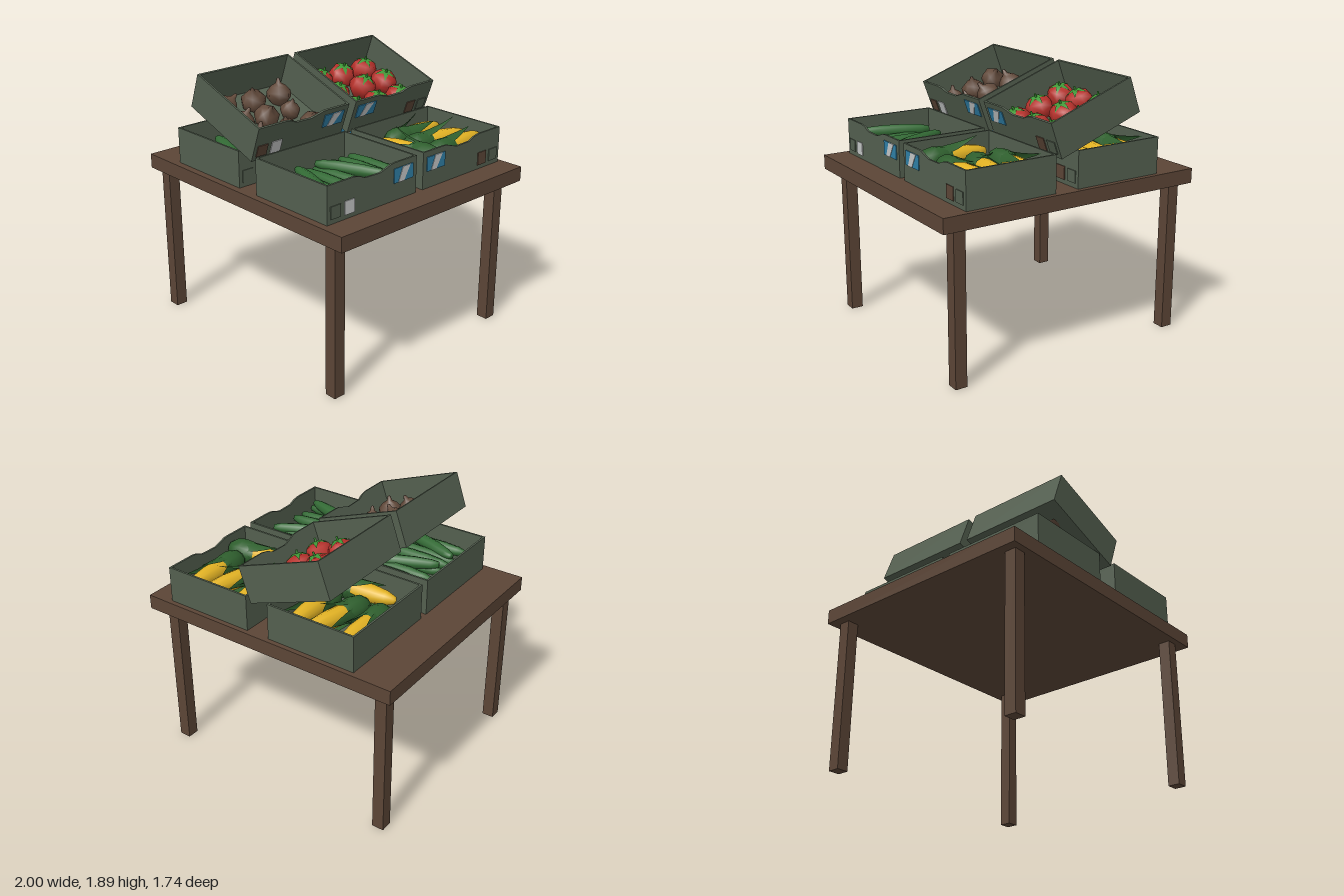
import * as THREE from 'three';

const mat = (name, color, side = THREE.FrontSide) => {
  const m = new THREE.MeshStandardMaterial({ color, side });
  m.name = name;
  return m;
};
const D = THREE.DoubleSide;
const M = {
  wood: mat('wood', 0x5b4536),
  crate: mat('crate green', 0x535f4f),
  tomato: mat('tomato red', 0xb5302a),
  leaf: mat('tomato leaf', 0x3f9636, D),
  corn: mat('corn yellow', 0xe3b324),
  husk: mat('husk green', 0x2f5f2e, D),
  cucumber: mat('cucumber green', 0x336b35),
  onion: mat('onion brown', 0x624a3b),
  blue: mat('label blue', 0x2f7fa6),
  white: mat('label white', 0xc4c6c6),
};

function add(parent, name, geometry, material, x = 0, y = 0, z = 0) {
  const m = new THREE.Mesh(geometry, material);
  m.name = name;
  m.position.set(x, y, z);
  parent.add(m);
  return m;
}
function group(parent, name, x = 0, y = 0, z = 0) {
  const g = new THREE.Group();
  g.name = name;
  g.position.set(x, y, z);
  if (parent) parent.add(g);
  return g;
}
const box = (w, h, d) => new THREE.BoxGeometry(w, h, d);
const lathe = (pts, n) => new THREE.LatheGeometry(pts.map(p => new THREE.Vector2(...p)), n);
// flat outline seen from +x, u running towards -z, extruded along +x
const sidePlate = (pts, depth) => new THREE.ExtrudeGeometry(
  new THREE.Shape(pts.map(p => new THREE.Vector2(...p))), { depth, bevelEnabled: false }).rotateY(Math.PI / 2);

// pointed leaf growing along +y, bending towards +z
function leafGeometry(len, width, bend, cup = 0) {
  const g = new THREE.PlaneGeometry(width, len, 2, 4).translate(0, len / 2, 0);
  const p = g.attributes.position;
  for (let i = 0; i < p.count; i++) {
    const t = p.getY(i) / len, x = p.getX(i);
    const w = t < 0.3 ? 0.7 + t : (1 - t) / 0.7;
    p.setXYZ(i, x * w, p.getY(i), bend * t * t - cup * Math.abs(x) * w);
  }
  g.computeVertexNormals();
  return g;
}

// ---- produce ----
const tomatoGeo = lathe([[0, -0.082], [0.055, -0.075], [0.095, -0.03], [0.102, 0.015], [0.08, 0.062], [0.035, 0.083], [0, 0.075]], 7);
const sepalGeo = leafGeometry(0.085, 0.04, 0.028).rotateX(Math.PI / 2);
const stemGeo = new THREE.CylinderGeometry(0.007, 0.01, 0.035, 5);
function tomato(parent, x, z, i) {
  const g = group(parent, 'tomato', x, 0.078, z);
  g.rotation.set(0.12 * Math.sin(i * 2.3), i * 1.1, 0.12 * Math.cos(i * 1.7));
  add(g, 'tomatoBody', tomatoGeo, M.tomato);
  add(g, 'tomatoStem', stemGeo, M.leaf, 0, 0.1, 0);
  for (let k = 0; k < 5; k++)
    add(g, 'tomatoLeaf', sepalGeo, M.leaf, 0, 0.092, 0).rotation.y = k * Math.PI * 0.4;
}

const onionGeo = lathe([[0, -0.085], [0.05, -0.075], [0.088, -0.025], [0.088, 0.02], [0.055, 0.06], [0.02, 0.082], [0.01, 0.115], [0, 0.12]], 7);
function onion(parent, x, z, i) {
  const m = add(parent, 'onion', onionGeo, M.onion, x, 0.068, z);
  m.rotation.set(0.4 * Math.sin(i * 2.1), i * 0.9, 0.4 * Math.cos(i * 1.6));
  if (i === 3) m.scale.setScalar(0.8);
}

const cucumberGeo = lathe([[0, -0.255], [0.022, -0.255], [0.036, -0.2], [0.045, -0.08], [0.045, 0.08], [0.036, 0.2], [0.022, 0.255], [0, 0.255]], 8).rotateZ(Math.PI / 2);
function cucumber(parent, y, zLeft, zRight) {
  const m = add(parent, 'cucumber', cucumberGeo, M.cucumber, 0.04, y, (zLeft + zRight) / 2);
  m.rotation.y = -Math.atan2(zRight - zLeft, 0.51);
}

const cobGeo = lathe([[0, 0.1], [0.06, 0.15], [0.067, 0.25], [0.064, 0.37], [0.05, 0.47], [0.028, 0.53], [0, 0.545]], 10);
const huskGeo = lathe([[0, 0], [0.045, 0.008], [0.078, 0.055], [0.088, 0.12], [0.082, 0.19], [0.07, 0.23]], 10);
const huskLeaf = leafGeometry(0.32, 0.1, 0.02, 0.35);
const flaredLeaf = leafGeometry(0.32, 0.09, 0.07, 0.35);
function corn(parent, [x, y, z], [dx, dy, dz], spin) {
  const g = group(parent, 'corn', x, y, z);
  g.quaternion.setFromUnitVectors(new THREE.Vector3(0, 1, 0), new THREE.Vector3(dx, dy, dz).normalize());
  add(g, 'cob', cobGeo, M.corn);
  add(g, 'husk', huskGeo, M.husk);
  for (let k = 0; k < 4; k++) {
    const a = spin + k * Math.PI / 2;
    add(g, 'huskLeaf', k % 2 ? flaredLeaf : huskLeaf, M.husk,
      0.078 * Math.sin(a), 0.11, 0.078 * Math.cos(a)).rotation.y = a;
  }
}

// ---- crate, dipped wall and labels on +x; s mirrors the label layout ----
const W = 0.675, H = 0.26, L = 0.795, T = 0.014;
const dip = [[0.4, 0.26], [0.17, 0.26], [0.12, 0.25], [0.07, 0.228], [-0.06, 0.225], [-0.11, 0.24], [-0.16, 0.257], [-0.2, 0.26], [-0.4, 0.26]];
function crate(parent, name, s, innerMat, outerMat) {
  const g = group(parent, name);
  add(g, 'crateFloor', box(W, T, L), M.crate, 0, T / 2, 0);
  add(g, 'crateBackWall', box(T, H, L), M.crate, -W / 2 + T / 2, H / 2, 0);
  for (const e of [-1, 1])
    add(g, 'crateSideWall', box(W, H, T), M.crate, 0, H / 2, e * (L / 2 - T / 2));
  const outline = dip.map(([u, v]) => [Math.max(-L / 2, Math.min(L / 2, -u * s)), v]);
  add(g, 'crateDippedWall', sidePlate([[-s * -L / 2, 0], [s * -L / 2, 0], ...outline], T), M.crate, W / 2 - T, 0, 0);
  const lx = W / 2;
  add(g, 'blueLabel', box(0.006, 0.1, 0.178), M.blue, lx + 0.003, 0.17, -0.273 * s);
  add(g, 'labelStripe', sidePlate([[-0.052, -0.05], [0.0, -0.05], [0.058, 0.05], [-0.012, 0.05]], 0.009),
    M.white, lx, 0.17, -0.273 * s);
  add(g, 'innerTag', box(0.006, 0.092, 0.085), innerMat, lx + 0.003, 0.075, 0.21 * s);
  add(g, 'outerTag', box(0.006, 0.085, 0.085), outerMat, lx + 0.003, 0.075, 0.328 * s);
  return g;
}

export function createModel() {
  const model = new THREE.Group();
  model.name = 'marketTable';

  // table
  add(model, 'tableTop', box(2, 0.105, 1.74), M.wood, 0, 1.1455, 0);
  for (const x of [-0.893, 0.85]) for (const z of [-0.763, 0.78])
    add(model, 'tableLeg', box(0.086, 1.1, 0.086), M.wood, x, 0.55, z);

  const zBack = -0.4375, zFront = 0.422;
  for (const x of [-0.3685, 0.4815]) {
    // corn crates
    const c = crate(model, 'cornCrate', -1, M.wood, M.crate);
    c.position.set(x, 1.198, zBack);
    corn(c, [-0.212, 0.13, 0.17], [0, 0.03, -1], 0.7);
    corn(c, [-0.05, 0.13, 0.17], [0.18, 0.05, -1], 1.5);
    corn(c, [0.19, 0.14, 0.17], [-0.04, 0.05, -1], 0.1);
    corn(c, [0.32, 0.165, 0.215], [-1, -0.01, 0.09], 0.5);

    // cucumber crates
    const k = crate(model, 'cucumberCrate', 1, M.white, M.crate);
    k.position.set(x, 1.198, zFront);
    for (const [y, a, b] of [[0.12, -0.33, -0.33], [0.12, -0.24, -0.24], [0.12, -0.155, -0.155],
      [0.11, 0, -0.06], [0.12, 0.085, 0.085], [0.11, 0.17, 0.19], [0.12, 0.325, 0.31],
      [0.16, 0.01, -0.205], [0.16, 0.155, 0.335]]) cucumber(k, y, a, b);
  }

  // tilted crates resting on the lower ones
  const tilted = group(model, 'tiltedCrates', -0.215, 1.535, 0);
  tilted.rotation.z = -Math.PI / 9;
  const t = crate(tilted, 'tomatoCrate', -1, M.wood, M.crate);
  t.position.z = zBack;
  const o = crate(tilted, 'onionCrate', 1, M.white, M.wood);
  o.position.z = zFront;
  [[-0.17, -0.21], [-0.17, 0.02], [-0.17, 0.24], [0.01, -0.25], [0.01, -0.03], [0.02, 0.24],
    [0.215, -0.21], [0.215, 0.02], [0.215, 0.24]].forEach(([x, z], i) => tomato(t, x, z, i));
  [[-0.16, -0.22], [-0.16, 0.01], [-0.16, 0.25], [0.03, -0.17], [0.03, 0.04], [0.03, 0.25],
    [0.215, -0.22], [0.215, 0.01], [0.215, 0.25]].forEach(([x, z], i) => onion(o, x, z, i));

  return model;
}
